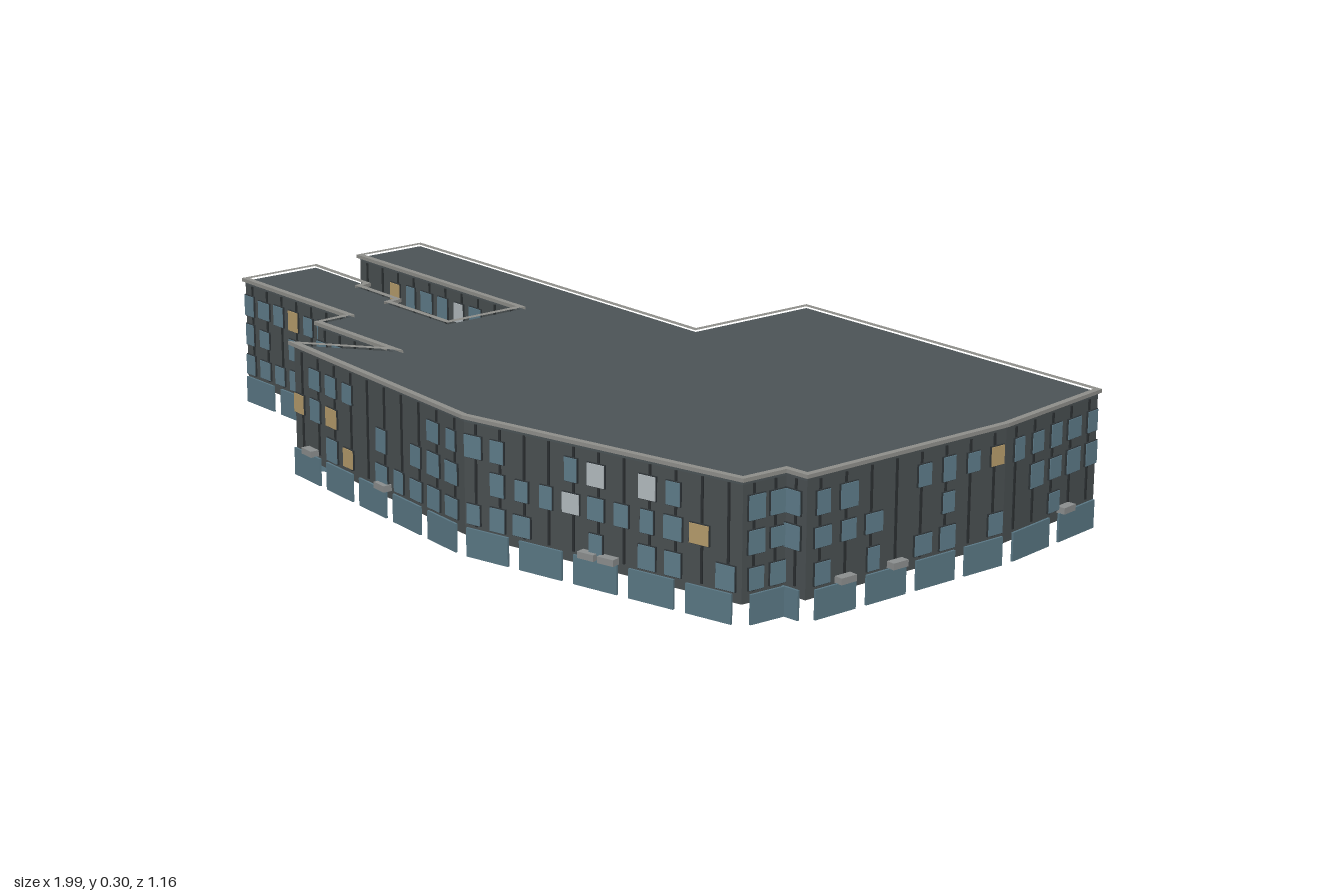
import * as THREE from 'three';
import { mergeGeometries } from 'three/addons/utils/BufferGeometryUtils.js';

// Footprint corners as [x, z], clockwise seen from above
const FOOTPRINT = [
  [0.05, -0.555], [0.93, -0.56], [0.975, -0.24], [0.965, 0.295], [0.912, 0.3], [0.905, 0.405],
  [0.24, 0.565], [-0.43, 0.523], [-0.25, 0.385], [-0.54, 0.385], [-0.545, 0.295], [-0.97, 0.295],
  [-0.97, 0.095], [-0.75, 0.1], [-0.745, 0.127], [-0.587, 0.13], [-0.582, 0.16], [-0.355, 0.16],
  [-0.355, -0.045], [-0.985, -0.045], [-0.985, -0.225], [0.045, -0.225],
];
const WALL_BOTTOM = 0.04, WALL_TOP = 0.285;
const ROWS = [0.092, 0.166, 0.236];

// Repeatable pseudo-random numbers
let seed = 7;
const rand = () => (seed = (seed * 16807) % 2147483647) / 2147483647;

// Outline moved outwards by d (mitred corners), as shape points (x, -z)
function outline(d) {
  const n = FOOTPRINT.length;
  const normal = (a, b) => new THREE.Vector2(b[1] - a[1], a[0] - b[0]).normalize();
  return FOOTPRINT.map((p, i) => {
    const n1 = normal(FOOTPRINT[(i + n - 1) % n], p);
    const n2 = normal(p, FOOTPRINT[(i + 1) % n]);
    const k = d / (1 + n1.dot(n2));
    return new THREE.Vector2(p[0] + (n1.x + n2.x) * k, -(p[1] + (n1.y + n2.y) * k));
  });
}

// Horizontal slab from a shape
function slab(shape, y, depth) {
  const g = new THREE.ExtrudeGeometry(shape, { depth, bevelEnabled: false });
  return g.rotateX(-Math.PI / 2).translate(0, y, 0);
}

export function createModel() {
  const model = new THREE.Group();
  model.name = 'building';
  const add = (name, geometry, color, extra = {}) => {
    const mesh = new THREE.Mesh(geometry, new THREE.MeshStandardMaterial({ color, ...extra }));
    mesh.name = name;
    model.add(mesh);
  };

  // Roof slab and light coping around its edge
  add('roof', slab(new THREE.Shape(outline(0)), WALL_TOP - 0.004, 0.008), 0x4c5457);
  const rim = new THREE.Shape(outline(0.006));
  rim.holes.push(new THREE.Path(outline(-0.008)));
  add('coping', slab(rim, 0.288, 0.008), 0x8f8f8b);

  // Facade pieces are collected per kind and merged
  const parts = { wall: [], seam: [], frame: [], glass: [], litGlass: [], paleGlass: [], shopPanel: [], ventBox: [] };

  FOOTPRINT.forEach((a, i) => {
    const b = FOOTPRINT[(i + 1) % FOOTPRINT.length];
    const dx = b[0] - a[0], dz = b[1] - a[1];
    const length = Math.hypot(dx, dz);
    const place = new THREE.Matrix4().makeRotationY(Math.atan2(dz, -dx))
      .setPosition((a[0] + b[0]) / 2, 0, (a[1] + b[1]) / 2);
    // Box on this wall: u along it, y up, out = distance of its front from the wall
    const box = (kind, u, y, w, h, out, depth) => parts[kind].push(
      new THREE.BoxGeometry(w, h, depth).translate(u, y, out - depth / 2).applyMatrix4(place));

    parts.wall.push(new THREE.PlaneGeometry(length, WALL_TOP - WALL_BOTTOM)
      .translate(0, (WALL_TOP + WALL_BOTTOM) / 2, 0).applyMatrix4(place));
    if (length < 0.04) return;

    // Bays with a vertical seam and up to three windows each
    const bays = Math.max(1, Math.round(length / 0.064));
    const bay = length / bays;
    for (let k = 0; k < bays; k++) {
      const u = (k + 0.5) * bay - length / 2;
      box('seam', u, 0.172, 0.005, 0.218, 0.003, 0.004);
      for (const y of ROWS) {
        if (rand() < 0.27) continue;
        const w = Math.min(0.03 + rand() * 0.016, bay * 0.75), h = 0.04 + rand() * 0.011;
        const pick = rand();
        const kind = pick < 0.1 ? 'litGlass' : pick < 0.12 ? 'paleGlass' : 'glass';
        box('frame', u, y, w + 0.003, h + 0.003, 0.011, 0.004);
        box(kind, u, y, w, h, 0.013, 0.004);
      }
    }

    // Large ground-floor panels
    const count = Math.max(1, Math.round(length / 0.14));
    const step = length / count;
    for (let k = 0; k < count; k++) {
      const u = (k + 0.5) * step - length / 2;
      box('shopPanel', u, 0.031, step * 0.79, 0.062, 0.015, 0.005);
    }

    // Small vent boxes on the longer walls
    if (length > 0.25) {
      for (let k = 0; k < Math.ceil(length / 0.5); k++) {
        const u = (rand() - 0.5) * length * 0.8;
        box('ventBox', u, 0.068, 0.04, 0.014, 0.024, 0.02);
      }
    }
  });

  const colors = {
    wall: 0x4a5052, seam: 0x2b2f31, frame: 0x2f3538, glass: 0x5f7d8b,
    litGlass: 0xb79d6c, paleGlass: 0xb4bcc0, shopPanel: 0x5a7885, ventBox: 0x8c8f8f,
  };
  for (const [name, list] of Object.entries(parts)) {
    if (!list.length) continue;
    add(name, mergeGeometries(list), colors[name], name === 'wall' ? { side: THREE.DoubleSide } : {});
  }
  return model;
}
